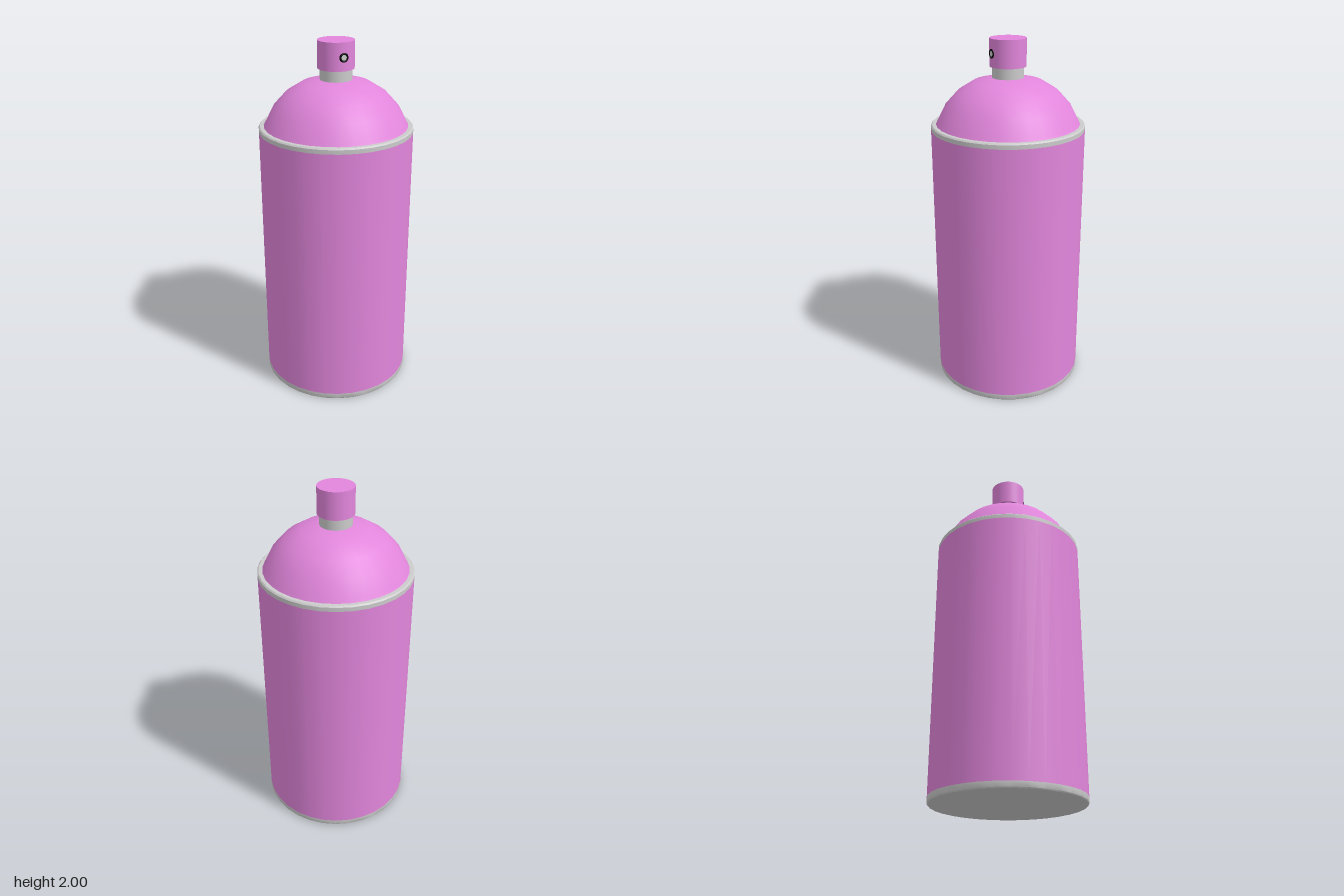
import * as THREE from 'three';
import { toCreasedNormals } from 'three/addons/utils/BufferGeometryUtils.js';

const pink = new THREE.MeshStandardMaterial({ color: 0xe286dc });
const grey = new THREE.MeshStandardMaterial({ color: 0xcccccc });
const black = new THREE.MeshStandardMaterial({ color: 0x050505 });

export function createModel() {
  const model = new THREE.Group();

  function add(name, geometry, material, y = 0, z = 0) {
    const mesh = new THREE.Mesh(geometry, material);
    mesh.name = name;
    mesh.position.set(0, y, z);
    model.add(mesh);
  }

  // Revolved profile of [radius, height] pairs, listed from bottom to top
  function lathe(profile, crease = 0.7) {
    const points = profile.map(([r, y]) => new THREE.Vector2(r, y));
    return toCreasedNormals(new THREE.LatheGeometry(points, 32), crease);
  }

  // Can: base with bottom band, painted wall, and rim with top band
  add('base', lathe([[0, 0], [0.42, 0], [0.425, 0.006], [0.425, 0.035]]), grey);
  add('canWall', new THREE.CylinderGeometry(0.425, 0.425, 1.475, 32, 1, true), pink, 0.7725);
  add('rim', lathe([[0.425, 1.51], [0.425, 1.533], [0.418, 1.54], [0.38, 1.54]]), grey);

  // Domed shoulder
  add('shoulder', lathe([
    [0.397, 1.54], [0.388, 1.555], [0.345, 1.64], [0.275, 1.716],
    [0.188, 1.77], [0.095, 1.79], [0, 1.795],
  ]), pink);

  // Valve stem and spray button
  add('valveStem', new THREE.CylinderGeometry(0.0875, 0.0875, 0.08, 32), grey, 1.82);
  add('sprayButton', new THREE.CylinderGeometry(0.1, 0.1, 0.15, 48), pink, 1.925);

  // Spray opening on the front of the button
  add('nozzleRing', new THREE.TorusGeometry(0.02, 0.006, 10, 24), black, 1.922, 0.097);
  add('nozzleCentre', new THREE.CircleGeometry(0.017, 20), grey, 1.922, 0.1005);

  return model;
}
